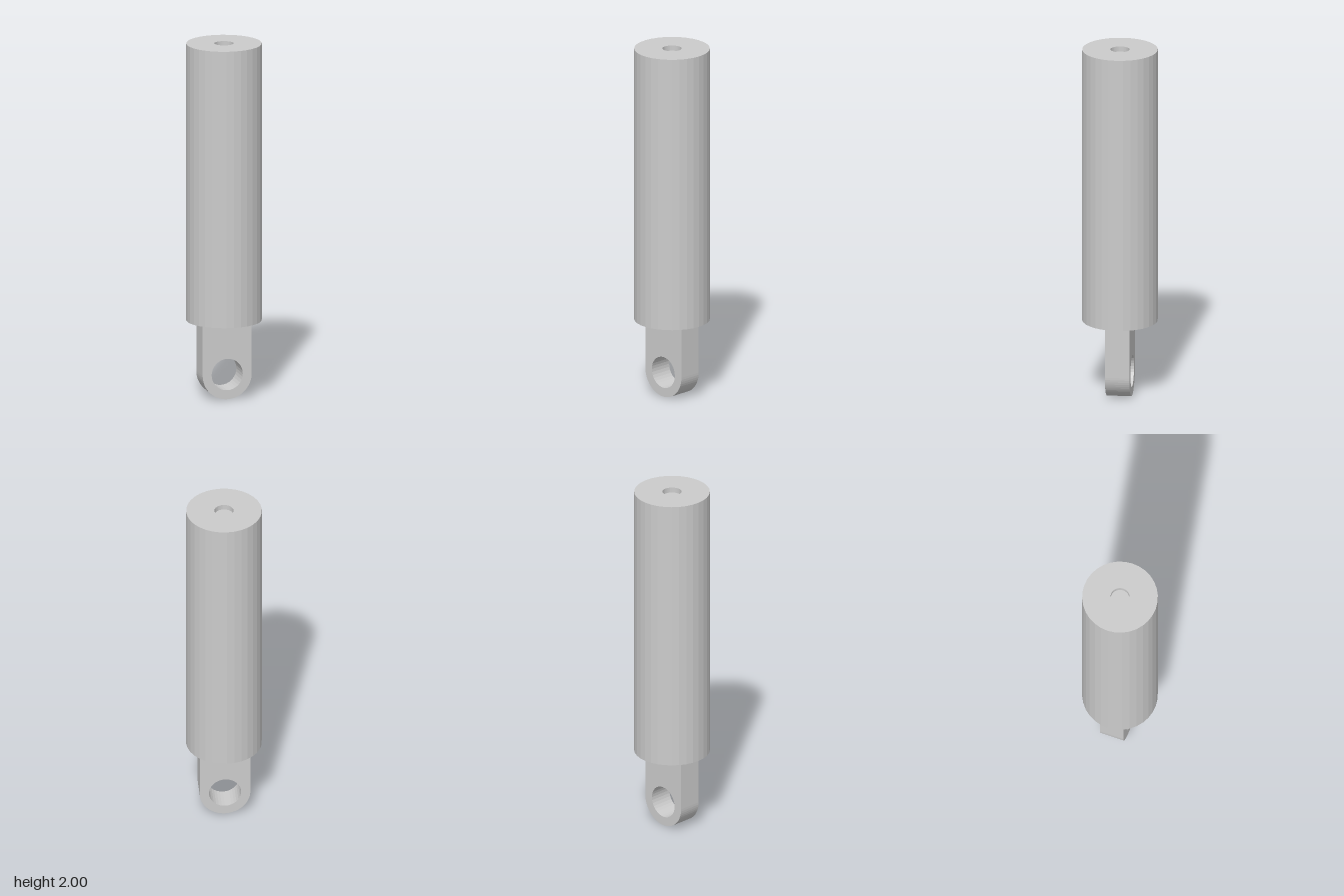
import * as THREE from 'three';

export function createModel() {
  const group = new THREE.Group();
  const material = new THREE.MeshStandardMaterial({ color: 0xcccccc, flatShading: true });
  const add = (name, geometry) => {
    const mesh = new THREE.Mesh(geometry, material);
    mesh.name = name;
    group.add(mesh);
    return mesh;
  };

  // Cylindrical body with a shallow round socket in its top face
  const bottom = 0.435, top = 2, radius = 0.209, socketRadius = 0.053, socketDepth = 0.03;
  const profile = [
    [0, bottom], [radius, bottom], [radius, top],
    [socketRadius, top], [socketRadius, top - socketDepth], [0, top - socketDepth],
  ].map(([x, y]) => new THREE.Vector2(x, y));
  add('body', new THREE.LatheGeometry(profile, 32));

  // Flat mounting lug with a rounded end and a pin hole
  const lugRadius = 0.14, holeRadius = 0.089, thickness = 0.136;
  const outline = new THREE.Shape();
  outline.moveTo(lugRadius, bottom);
  outline.lineTo(-lugRadius, bottom);
  outline.lineTo(-lugRadius, lugRadius);
  outline.absarc(0, lugRadius, lugRadius, Math.PI, Math.PI * 2, false);
  outline.closePath();
  const hole = new THREE.Path();
  hole.absarc(0, lugRadius, holeRadius, 0, Math.PI * 2, true);
  outline.holes.push(hole);
  const lug = new THREE.ExtrudeGeometry(outline, {
    depth: thickness, bevelEnabled: false, curveSegments: 16,
  });
  lug.translate(0, 0, -thickness / 2);
  add('mountingLug', lug);

  return group;
}
